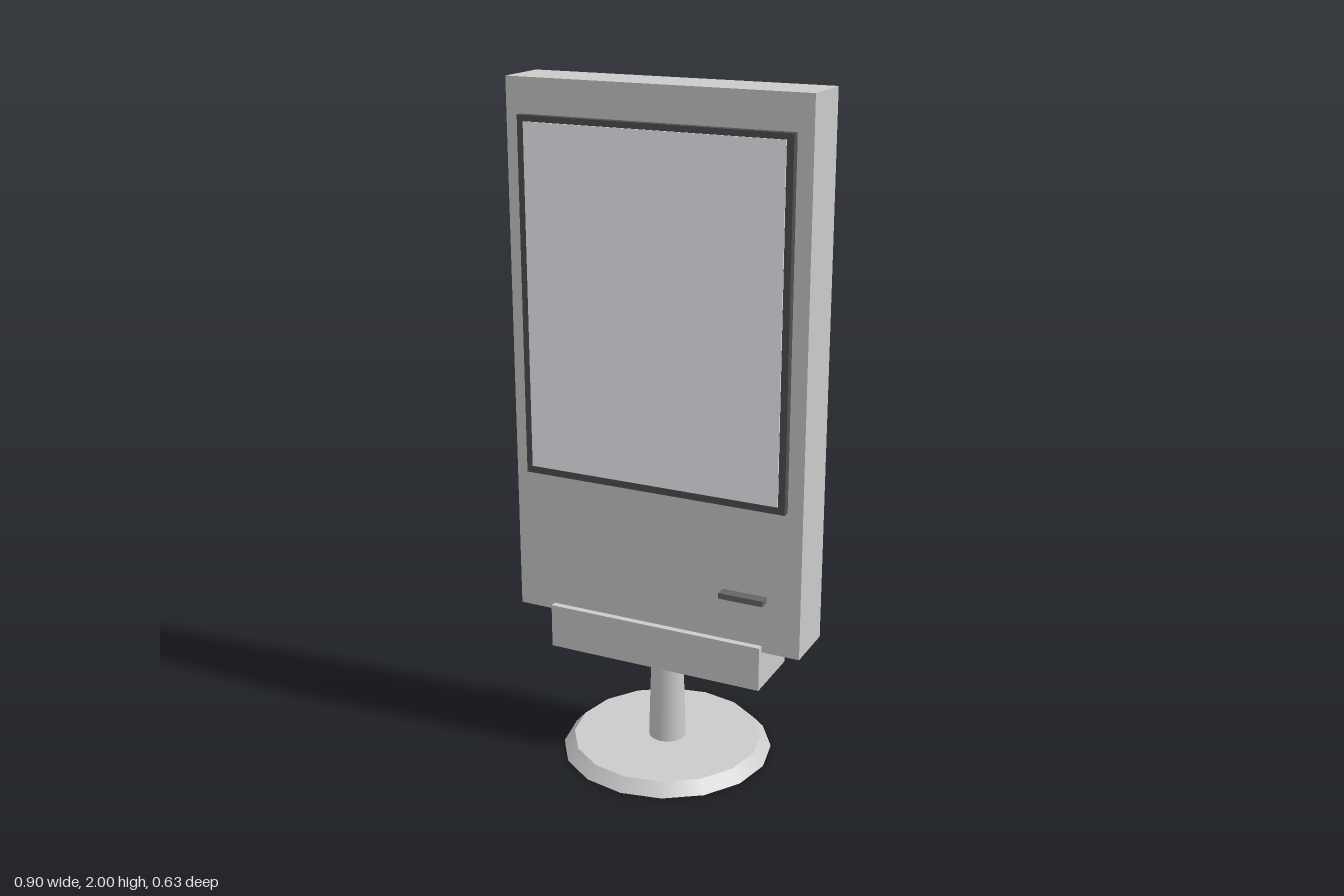
import * as THREE from 'three';

const grey = new THREE.MeshStandardMaterial({ color: 0xcccccc });
const dark = new THREE.MeshStandardMaterial({ color: 0x505052 });
const slotGrey = new THREE.MeshStandardMaterial({ color: 0x66666a });
const glass = new THREE.MeshStandardMaterial({ color: 0xf4f8fe });

export function createModel() {
  const group = new THREE.Group();

  const add = (name, geometry, material) => {
    const mesh = new THREE.Mesh(geometry, material);
    mesh.name = name;
    group.add(mesh);
    return mesh;
  };
  // Box given by its lower and upper limits on each axis
  const box = (name, [x0, x1], [y0, y1], [z0, z1], material = grey) =>
    add(name, new THREE.BoxGeometry(x1 - x0, y1 - y0, z1 - z0), material)
      .position.set((x0 + x1) / 2, (y0 + y1) / 2, (z0 + z1) / 2);
  // Upright round part standing on y0
  const round = (name, rTop, rBottom, y0, y1) =>
    add(name, new THREE.CylinderGeometry(rTop, rBottom, y1 - y0, 16), grey)
      .position.y = (y0 + y1) / 2;

  // Stand: bevelled foot disc, slightly tapered post, cradle under the housing
  round('footDisc', 0.285, 0.317, 0, 0.036);
  round('post', 0.048, 0.056, 0.036, 0.31);
  box('cradle', [-0.338, 0.338], [0.306, 0.44], [-0.103, 0.103]);

  // Display housing with framed screen and a small card slot
  box('housing', [-0.452, 0.452], [0.42, 2], [-0.085, 0.083]);
  box('screenFrame', [-0.406, 0.406], [0.86, 1.9], [0.08, 0.106], dark);
  box('screen', [-0.386, 0.386], [0.882, 1.883], [0.1, 0.109], glass);
  box('cardSlot', [0.215, 0.35], [0.578, 0.595], [0.08, 0.116], slotGrey);

  return group;
}
